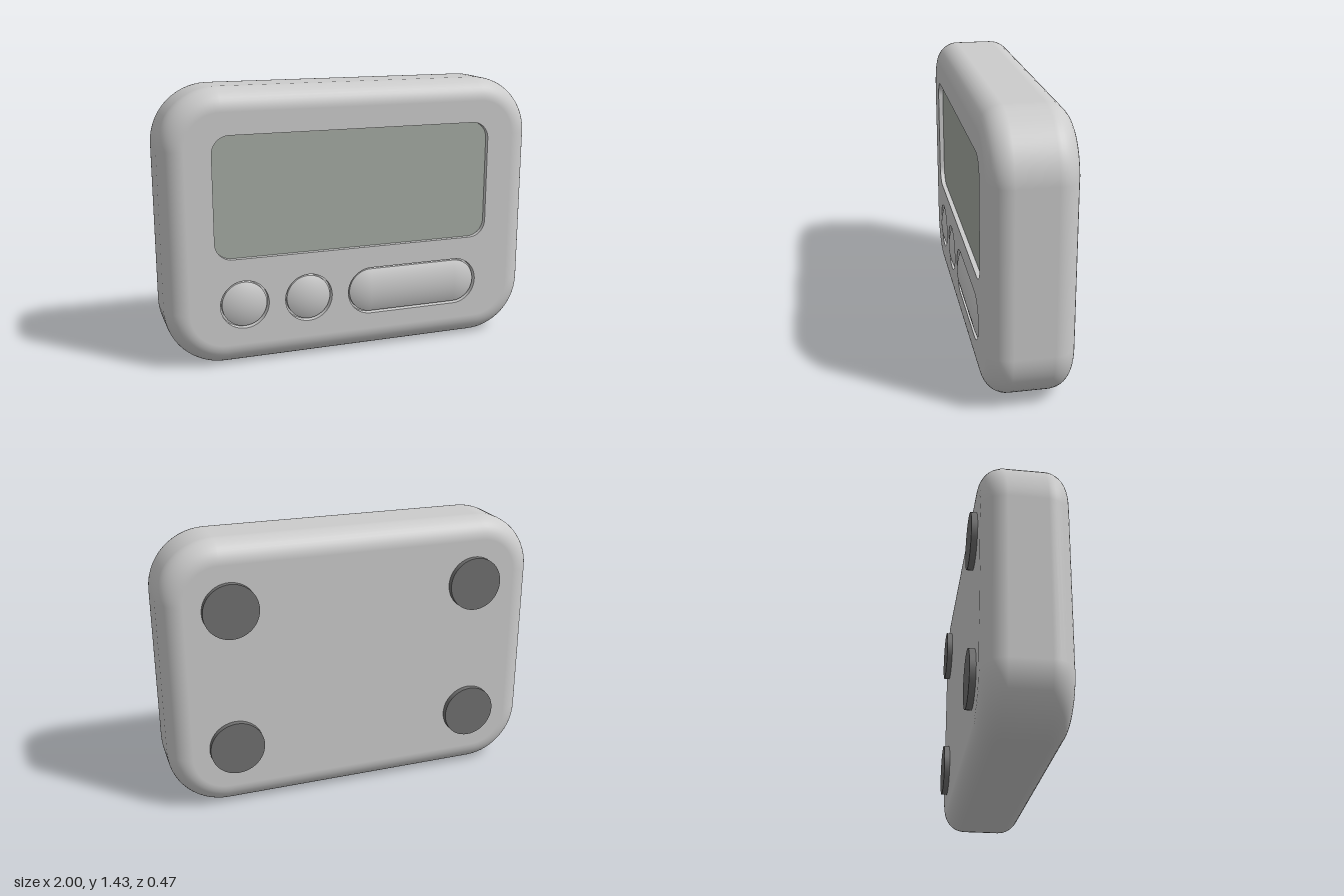
import * as THREE from 'three';

const mat = (name, color) => Object.assign(new THREE.MeshStandardMaterial({ color }), { name });
const HALF_PI = Math.PI / 2;

// Rounded rectangle outline (counter-clockwise), shrunk by an inset; each point keeps its outward angle
function outline({ x = 0, y = 0, w, h, r }, inset = 0, n = 14) {
  const pts = [];
  const rad = Math.max(r - inset, 0);
  [[1, 1], [-1, 1], [-1, -1], [1, -1]].forEach(([sx, sy], k) => {
    for (let i = 0; i <= n; i++) {
      const a = (k + i / n) * HALF_PI;
      pts.push({ x: x + sx * (w - r) + rad * Math.cos(a), y: y + sy * (h - r) + rad * Math.sin(a), a });
    }
  });
  return pts;
}

// Sweep a profile of [inset, z, normal angle] around a rounded rectangle
function loft(rect, profile) {
  const pos = [], nor = [], idx = [];
  let count = 0;
  profile.forEach(([inset, z, phi], i) => {
    const ring = outline(rect, inset);
    count = ring.length;
    ring.forEach((p, j) => {
      pos.push(p.x, p.y, z);
      nor.push(Math.cos(phi) * Math.cos(p.a), Math.cos(phi) * Math.sin(p.a), Math.sin(phi));
      if (i === 0) return;
      const b = i * count + j, b2 = i * count + (j + 1) % count;
      idx.push(b - count, b2 - count, b2, b - count, b2, b);
    });
  });
  const g = new THREE.BufferGeometry();
  g.setAttribute('position', new THREE.Float32BufferAttribute(pos, 3));
  g.setAttribute('normal', new THREE.Float32BufferAttribute(nor, 3));
  g.setIndex(idx);
  return g;
}

// Flat face filling a rounded rectangle, with optional holes
function face(rect, inset, z, holes = []) {
  const toVec = (p) => new THREE.Vector2(p.x, p.y);
  const shape = new THREE.Shape(outline(rect, inset).map(toVec));
  holes.forEach((o) => shape.holes.push(new THREE.Path(outline(o).map(toVec))));
  return new THREE.ShapeGeometry(shape).translate(0, 0, z);
}

export function createModel() {
  const model = new THREE.Group();
  model.name = 'digitalTimer';
  const casing = mat('casingGrey', 0xcccccc);
  const display = mat('displayGreenGrey', 0xa5aba3);
  const rubber = mat('rubberDarkGrey', 0x707070);
  const add = (name, geo, material, parent = model) => {
    const m = new THREE.Mesh(geo, material);
    m.name = name;
    parent.add(m);
    return m;
  };

  const zFront = 0.22, zBack = -0.205, fillet = 0.115, midY = 0.715;
  const bodyRect = { y: midY, w: 1, h: midY, r: 0.3 };
  const screenRect = { x: -0.002, y: 0.886, w: 0.747, h: 0.315, r: 0.09 };
  const buttonRects = [
    { x: -0.603, y: 0.328, w: 0.127, h: 0.127, r: 0.127 },
    { x: -0.262, y: 0.328, w: 0.127, h: 0.127, r: 0.127 },
    { x: 0.325, y: 0.328, w: 0.37, h: 0.127, r: 0.127 },
  ];

  // Casing: rounded rim, front face with openings, back face
  const rim = [];
  for (const [start, cz] of [[-HALF_PI, zBack + fillet], [0, zFront - fillet]]) {
    for (let i = 0; i <= 10; i++) {
      const phi = start + (i / 10) * HALF_PI;
      rim.push([fillet * (1 - Math.cos(phi)), cz + fillet * Math.sin(phi), phi]);
    }
  }
  const body = new THREE.Group();
  body.name = 'casing';
  model.add(body);
  add('casingRim', loft(bodyRect, rim), casing, body);
  add('casingFront', face(bodyRect, fillet, zFront, [screenRect, ...buttonRects]), casing, body);
  add('casingBack', face(bodyRect, fillet, -zBack).rotateY(Math.PI), casing, body);

  // Recessed screen
  const screenZ = zFront - 0.025;
  add('screenRecessWall', loft(screenRect, [[0, zFront, Math.PI], [0, screenZ, Math.PI]]), casing);
  add('screen', face(screenRect, 0, screenZ), display);

  // Domed buttons sitting in grooves
  const gap = 0.01, floorZ = zFront - 0.035, topZ = 0.235, rise = 0.025;
  buttonRects.forEach((hole, k) => {
    const group = new THREE.Group();
    group.name = ['leftRoundButton', 'middleRoundButton', 'wideButton'][k];
    model.add(group);
    add('grooveWall', loft(hole, [[0, zFront, Math.PI], [0, floorZ, Math.PI]]), casing, group);
    add('grooveFloor', loft(hole, [[0, floorZ, HALF_PI], [gap, floorZ, HALF_PI]]), casing, group);
    const r = hole.r - gap;
    const cap = { ...hole, w: hole.w - gap, h: hole.h - gap, r };
    add('buttonSide', loft(cap, [[0, floorZ, 0], [0, topZ - rise, 0]]), casing, group);
    const R = (r * r + rise * rise) / (2 * rise), tMax = Math.asin(r / R);
    const dome = [];
    for (let i = 0; i <= 10; i++) {
      const t = tMax * (1 - i / 10);
      dome.push([r - R * Math.sin(t), topZ - R + R * Math.cos(t), HALF_PI - t]);
    }
    add('buttonDome', loft(cap, dome), casing, group);
  });

  // Four round pads on the back
  for (const sx of [-1, 1]) {
    for (const sy of [-1, 1]) {
      const pad = add('backPad', new THREE.CylinderGeometry(0.142, 0.142, 0.03, 48), rubber);
      pad.rotation.x = HALF_PI;
      pad.position.set(sx * 0.655, midY + sy * 0.372, zBack - 0.015);
    }
  }
  return model;
}
